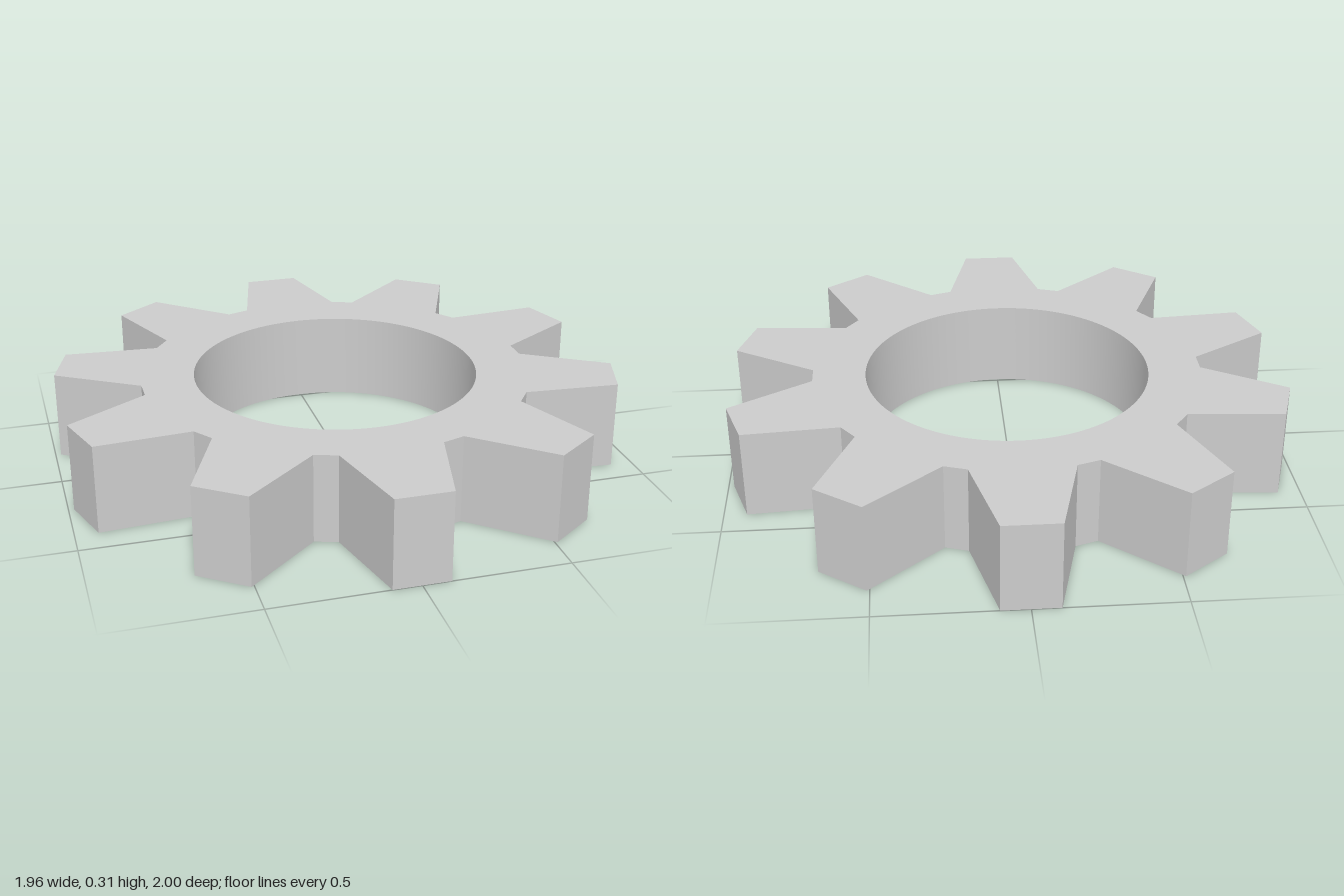
import * as THREE from 'three';
import { toCreasedNormals } from 'three/addons/utils/BufferGeometryUtils.js';

const TEETH = 10;
const HEIGHT = 0.315;
const HOLE_RADIUS = 0.507;

export function createModel() {
  const group = new THREE.Group();
  group.name = 'gear';

  // One pitch of the outline: the tapered tooth tip, then the flat valley floor
  const pitch = (2 * Math.PI) / TEETH;
  const outline = [];
  const addEdge = (radius, halfWidth, angle) => {
    for (const side of [-1, 1]) {
      outline.push(new THREE.Vector2(radius, side * halfWidth).rotateAround(new THREE.Vector2(), angle));
    }
  };
  for (let i = 0; i < TEETH; i++) {
    const angle = Math.PI / 2 + i * pitch;
    addEdge(1, 0.097, angle);
    addEdge(0.695, 0.041, angle + pitch / 2);
  }

  // Round bore through the middle
  const shape = new THREE.Shape(outline);
  shape.holes.push(new THREE.Path().absarc(0, 0, HOLE_RADIUS, 0, 2 * Math.PI, true));

  // Lay the extruded gear flat; the bore is smooth, the teeth stay sharp
  const extruded = new THREE.ExtrudeGeometry(shape, { depth: HEIGHT, bevelEnabled: false, curveSegments: 96 });
  extruded.rotateX(-Math.PI / 2);
  const wheel = new THREE.Mesh(
    toCreasedNormals(extruded, 0.4),
    new THREE.MeshStandardMaterial({ color: 0xcccccc })
  );
  wheel.name = 'toothedRing';
  group.add(wheel);
  return group;
}
